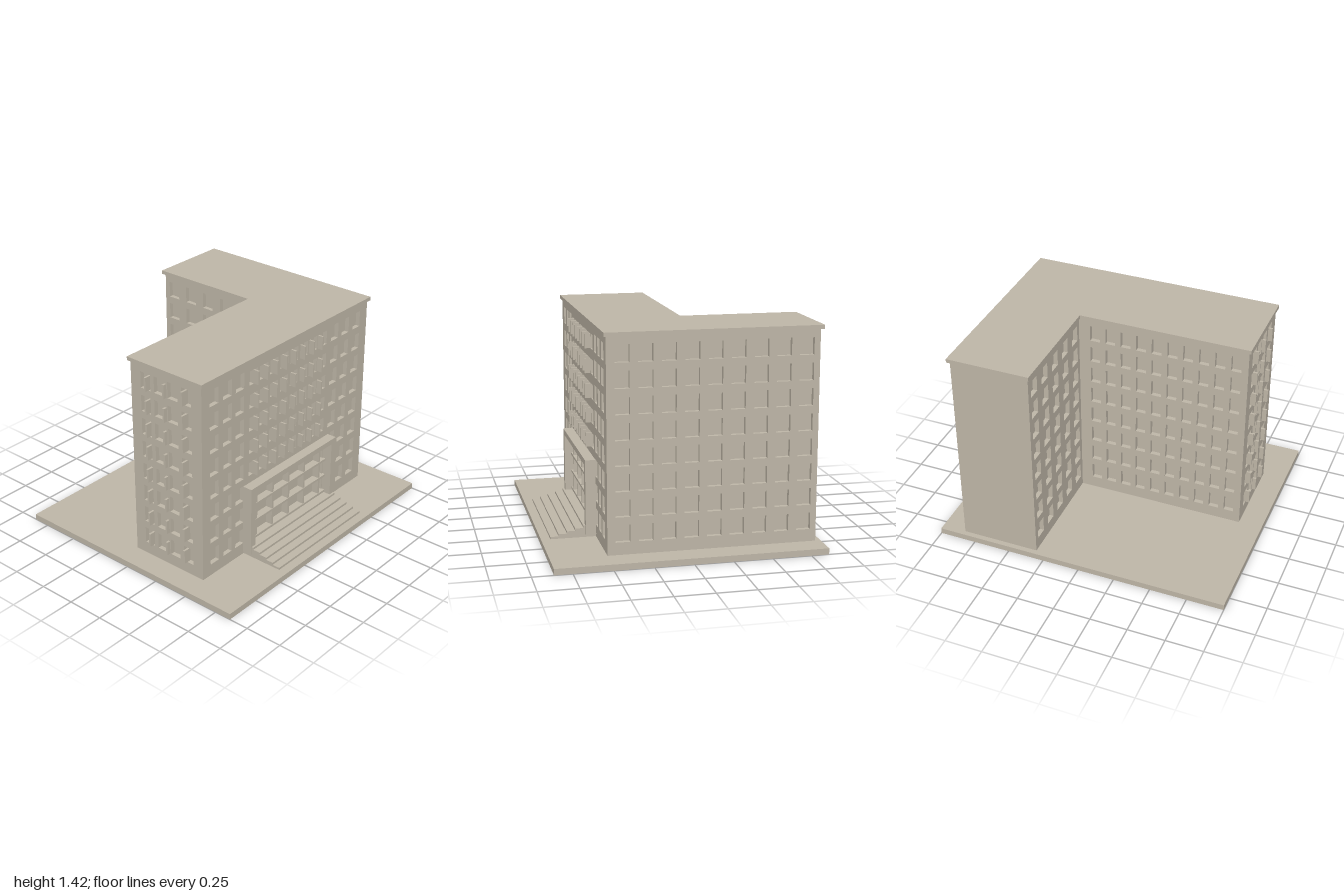
import * as THREE from 'three';

const stone = new THREE.MeshStandardMaterial({ color: 0xbfb7a8 });
stone.name = 'stone';

const WALL = 0.03;                       // wall thickness = window recess
const BASE = 0.04, TOP = 1.4;            // wall bottom and top
const X0 = -0.84, X1 = 0.835, Z0 = -0.83, Z1 = 0.51; // outer wall faces
const WING_X = 0.31, BACK_Z = -0.06;     // inner corner of the L plan
const rowY = (i) => 0.12 + i * 0.16;     // sill height of each floor

export function createModel() {
  const model = new THREE.Group();
  model.name = 'officeBuilding';

  const add = (name, geometry, parent = model) => {
    const mesh = new THREE.Mesh(geometry, stone);
    mesh.name = name;
    parent.add(mesh);
    return mesh;
  };

  // Box from its minimum and maximum corners
  const box = (name, x0, x1, y0, y1, z0, z1, parent) => {
    const g = new THREE.BoxGeometry(x1 - x0, y1 - y0, z1 - z0);
    g.translate((x0 + x1) / 2, (y0 + y1) / 2, (z0 + z1) / 2);
    return add(name, g, parent);
  };

  const rect = (Type, u0, u1, v0, v1) => {
    const p = new Type();
    p.moveTo(u0, v0);
    p.lineTo(u1, v0);
    p.lineTo(u1, v1);
    p.lineTo(u0, v1);
    p.closePath();
    return p;
  };

  // Windows of one column set: centres u, on floors first..7
  const grid = (centres, width, height, first = 0) => {
    const holes = [];
    for (let i = first; i < 8; i++)
      for (const u of centres) holes.push([u - width / 2, u + width / 2, rowY(i), rowY(i) + height]);
    return holes;
  };
  const series = (start, step, n) => Array.from({ length: n }, (_, i) => start + i * step);

  // Pierced wall whose outer face is at local z = 0
  const wall = (name, u0, u1, holes, rotation, x, z) => {
    const shape = rect(THREE.Shape, u0, u1, BASE, TOP);
    for (const h of holes) shape.holes.push(rect(THREE.Path, ...h));
    const g = new THREE.ExtrudeGeometry(shape, { depth: WALL, bevelEnabled: false });
    g.translate(0, 0, -WALL);
    const mesh = add(name, g);
    mesh.rotation.y = rotation;
    mesh.position.set(x, 0, z);
  };

  // Ground slab and inner core, which closes the window recesses
  box('groundSlab', -1, 1, 0, BASE, -0.865, 0.865);
  box('mainCore', X0 + WALL, X1 - WALL, BASE, TOP, BACK_Z + WALL, Z1 - WALL);
  box('wingCore', WING_X + WALL, X1 - WALL, BASE, TOP, Z0, BACK_Z + WALL);

  // Outer walls
  const sideColumns = [-0.727, -0.604, -0.487, 0.476, 0.594, 0.717];
  wall('frontWall', X0, X1, [
    ...grid(sideColumns, 0.08, 0.11),
    ...grid(series(-0.357, 0.101, 8), 0.08, 0.095, 3),
    [-0.405, 0.393, 0.115, 0.51],
  ], 0, 0, Z1);
  wall('rightWall', -(Z1 - WALL), -Z0, grid(series(-0.412, 0.1447, 9), 0.092, 0.11), Math.PI / 2, X1, 0);
  wall('leftWall', BACK_Z + WALL, Z1 - WALL, grid(series(0.06, 0.11, 4), 0.08, 0.11), -Math.PI / 2, X0, 0);
  wall('backWall', -WING_X - WALL, -X0, grid(series(-0.198, 0.1065, 10), 0.068, 0.11), Math.PI, 0, BACK_Z);
  wall('wingInnerWall', Z0, BACK_Z, grid(series(-0.75, 0.154, 5), 0.088, 0.11), -Math.PI / 2, WING_X, 0);

  // L-shaped roof slab with a small overhang
  const roof = new THREE.Shape();
  [[-0.855, -0.525], [0.85, -0.525], [0.85, 0.85], [0.295, 0.85], [0.295, 0.075], [-0.855, 0.075]]
    .forEach(([x, y], i) => (i ? roof.lineTo(x, y) : roof.moveTo(x, y)));
  const roofGeometry = new THREE.ExtrudeGeometry(roof, { depth: 0.025, bevelEnabled: false });
  roofGeometry.rotateX(-Math.PI / 2);
  roofGeometry.translate(0, TOP, 0);
  add('roofSlab', roofGeometry);

  // Sun-shading fins on the front and left walls
  const fins = new THREE.Group();
  fins.name = 'shadingFins';
  model.add(fins);
  for (let i = 0; i < 8; i++) {
    const y0 = rowY(i), y1 = y0 + 0.093;
    if (i > 2)
      for (const x of series(-0.35, 0.0929, 8))
        box('frontFin', x - 0.006, x + 0.006, y0, y1, Z1 - WALL, 0.548, fins);
    for (const z of [0.077, 0.225, 0.372])
      box('leftFin', -0.865, X0 + WALL, y0, y1, z - 0.007, z + 0.007, fins);
  }

  // Entrance portico: two jambs and a lintel
  const portico = new THREE.Group();
  portico.name = 'portico';
  model.add(portico);
  box('leftJamb', 0.4, 0.445, 0.057, 0.51, Z1, 0.577, portico);
  box('rightJamb', -0.45, -0.405, 0.057, 0.51, Z1, 0.577, portico);
  box('lintel', -0.45, 0.445, 0.51, 0.547, Z1, 0.577, portico);

  // Glazing bars of the entrance
  for (const x of series(-0.336, 0.168, 5))
    box('mullion', x - 0.008, x + 0.008, 0.115, 0.51, Z1 - WALL, 0.528, portico);
  for (const y of series(0.12, 0.1237, 4))
    box('transom', -0.405, 0.4, y, y + 0.016, Z1 - WALL, 0.532, portico);

  // Entrance steps
  const steps = new THREE.Group();
  steps.name = 'entranceSteps';
  model.add(steps);
  for (let i = 0; i < 5; i++)
    box('step', -0.443, 0.438, BASE + i * 0.015, BASE + (i + 1) * 0.015, Z1, 0.805 - i * 0.0535, steps);

  return model;
}
